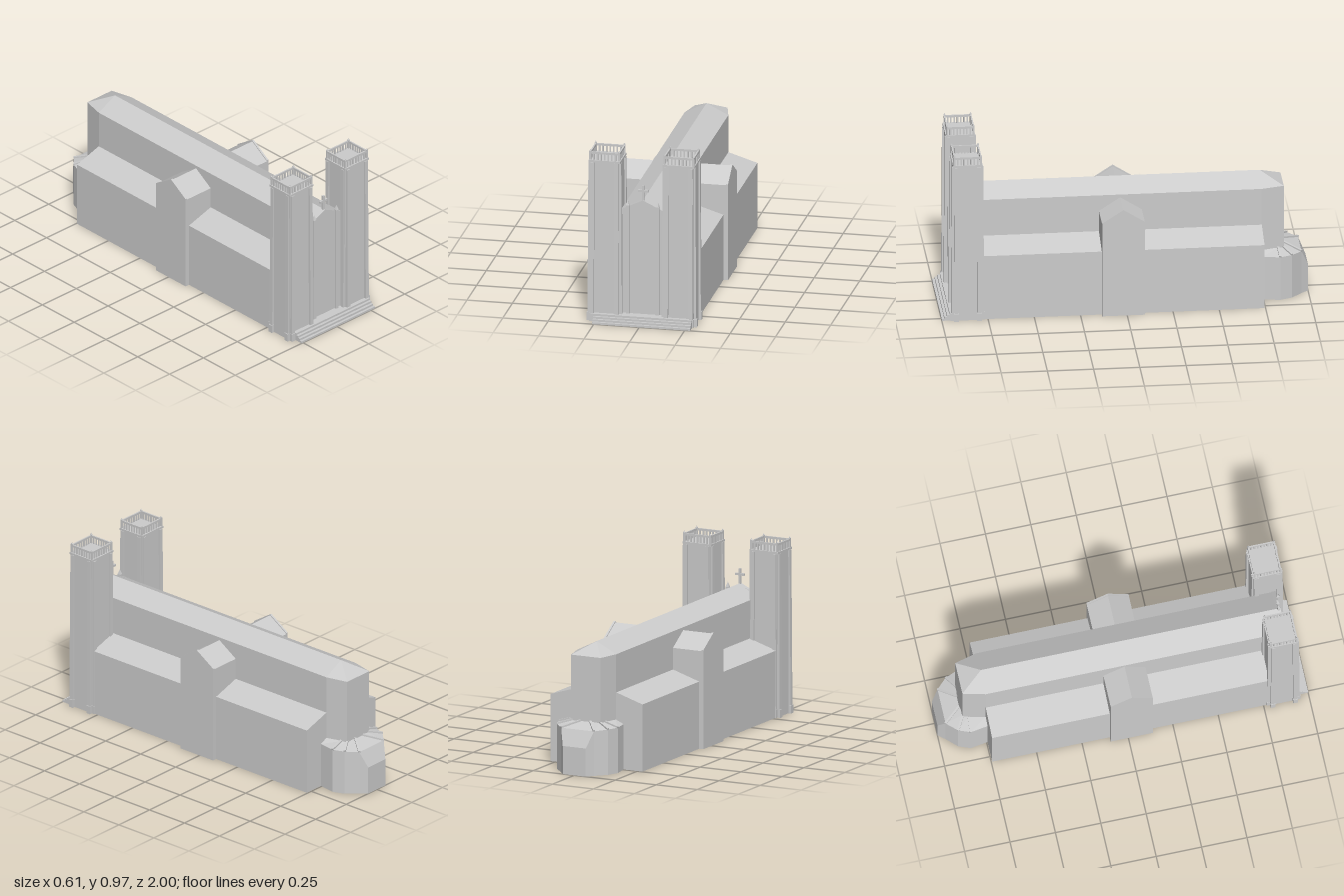
import * as THREE from 'three';

const mat = new THREE.MeshStandardMaterial({ color: 0xcccccc, flatShading: true, side: THREE.DoubleSide });

function mesh(parent, name, geo) {
  const m = new THREE.Mesh(geo, mat);
  m.name = name;
  parent.add(m);
  return m;
}

// box given by its limits on each axis
function box(parent, name, x0, x1, y0, y1, z0, z1) {
  const geo = new THREE.BoxGeometry(x1 - x0, y1 - y0, z1 - z0);
  geo.translate((x0 + x1) / 2, (y0 + y1) / 2, (z0 + z1) / 2);
  return mesh(parent, name, geo);
}

// thin shell from convex polygons, each a list of [x, y, z] corners
function shell(parent, name, faces) {
  const pos = [];
  for (const f of faces) {
    for (let i = 1; i < f.length - 1; i++) pos.push(...f[0], ...f[i], ...f[i + 1]);
  }
  const geo = new THREE.BufferGeometry();
  geo.setAttribute('position', new THREE.Float32BufferAttribute(pos, 3));
  geo.computeVertexNormals();
  return mesh(parent, name, geo);
}

const mirror = (f) => f.map(([x, y, z]) => [-x, y, z]).reverse();

// outline in x/y pushed along z from z0 to z1
function slab(parent, name, pts, z0, z1) {
  const shape = new THREE.Shape(pts.map((p) => new THREE.Vector2(...p)));
  const geo = new THREE.ExtrudeGeometry(shape, { depth: z1 - z0, bevelEnabled: false });
  geo.translate(0, 0, z0);
  return mesh(parent, name, geo);
}

function buildTower(side) {
  const g = new THREE.Group();
  g.name = side > 0 ? 'leftTower' : 'rightTower';
  const hx = 0.082, hz = 0.075, H = 0.9;
  box(g, 'towerBody', -hx, hx, 0, H, -hz, hz);

  // pilasters beside every corner, leaning in towards the top
  const pilaster = (name, x0, x1, z0, z1, h, k) => {
    const p = box(g, name, x0, x1, 0, h, z0, z1).geometry.attributes.position;
    for (let i = 0; i < p.count; i++) {
      if (p.getY(i) > h / 2) p.setXYZ(i, p.getX(i) * k, h, p.getZ(i) * k);
    }
  };
  for (const sx of [-1, 1]) {
    for (const sz of [-1, 1]) {
      const span = (s, a, b) => (s > 0 ? [a, b] : [-b, -a]);
      pilaster('pilaster', ...span(sx, hx - 0.024, hx - 0.002), ...span(sz, hz - 0.01, hz + 0.014), H, 0.95);
      pilaster('pilaster', ...span(sx, hx - 0.01, hx + 0.013), ...span(sz, hz - 0.024, hz - 0.002), H, 0.95);
      pilaster('plinth', ...span(sx, hx - 0.026, hx), ...span(sz, hz - 0.01, hz + 0.018), 0.045, 1);
      pilaster('plinth', ...span(sx, hx - 0.01, hx + 0.017), ...span(sz, hz - 0.026, hz), 0.045, 1);
    }
  }
  box(g, 'cornice', -0.087, 0.087, 0.9, 0.912, -0.08, 0.08);

  // open balustrade with corner posts
  const bx = 0.079, bz = 0.071, t = 0.004;
  for (const s of [-1, 1]) {
    box(g, 'rail', -bx, bx, 0.946, 0.958, s * bz - t, s * bz + t);
    box(g, 'rail', s * bx - t, s * bx + t, 0.946, 0.958, -bz, bz);
    for (const q of [-1, 1]) {
      box(g, 'cornerPost', s * bx - 0.005, s * bx + 0.005, 0.912, 0.962, q * bz - 0.005, q * bz + 0.005);
      const cap = mesh(g, 'postCap', new THREE.ConeGeometry(0.006, 0.01, 4));
      cap.position.set(s * bx, 0.967, q * bz);
    }
    for (let i = 1; i < 8; i++) {
      const u = -1 + i / 4, x = u * bx, z = u * bz;
      box(g, 'baluster', x - t, x + t, 0.912, 0.946, s * bz - 0.003, s * bz + 0.003);
      box(g, 'baluster', s * bx - 0.003, s * bx + 0.003, 0.912, 0.946, z - t, z + t);
    }
  }
  g.position.set(side * 0.204, 0, 0.86);
  return g;
}

export function createModel() {
  const model = new THREE.Group();
  model.name = 'cathedral';

  // nave: upper walls, ridge roof and hipped chancel end
  const F = 0.9, B = -0.745, E = -0.867, eave = 0.63, ridge = 0.69;
  const half = [
    [[0.12, 0.4, F], [0.12, 0.4, B], [0.12, eave, B], [0.12, eave, F]],
    [[0.12, 0.2, B], [0.09, 0.2, E], [0.09, eave, E], [0.12, eave, B]],
    [[0.12, eave, F], [0.12, eave, B], [0, ridge, B], [0, ridge, F]],
    [[0.12, eave, B], [0.09, eave, E], [0, ridge, B]],
  ];
  shell(model, 'nave', [
    ...half, ...half.map(mirror),
    [[0.09, 0.2, E], [-0.09, 0.2, E], [-0.09, eave, E], [0.09, eave, E]],
    [[0.09, eave, E], [-0.09, eave, E], [0, ridge, B]],
  ]);

  // side aisles with lean-to roofs, open underneath
  const aisle = [
    [[0.28, 0, 0.78], [0.28, 0, B], [0.28, 0.37, B], [0.28, 0.37, 0.78]],
    [[0.28, 0.37, 0.78], [0.28, 0.37, B], [0.12, 0.42, B], [0.12, 0.42, 0.78]],
    [[0.28, 0, B], [0.12, 0, B], [0.12, 0.42, B], [0.28, 0.37, B]],
    [[0.12, 0, 0.78], [0.28, 0, 0.78], [0.28, 0.37, 0.78], [0.12, 0.42, 0.78]],
  ];
  shell(model, 'leftAisle', aisle);
  shell(model, 'rightAisle', aisle.map(mirror));

  // transept arms with a thin raised end gable
  const z0 = -0.097, z1 = 0.135, zm = 0.02;
  const gable = (x, d) => [[x, 0, z1], [x, 0, z0], [x, 0.545 - d, z0], [x, 0.62 - d, zm], [x, 0.545 - d, z1]];
  const sweep = (a, b) => a.map((p, i) => {
    const j = (i + 1) % a.length;
    return [p, a[j], b[j], b[i]];
  }).slice(1); // no floor
  const arm = [
    ...sweep(gable(0.12, 0.006), gable(0.294, 0.006)),
    ...sweep(gable(0.294, 0), gable(0.305, 0)),
    gable(0.294, 0), gable(0.305, 0),
  ];
  shell(model, 'leftTransept', arm);
  shell(model, 'rightTransept', arm.map(mirror));

  // apse: curved wall and fan roof, each rim point paired with a roof point
  const rim = [[0.165, 0.25, B], [0.18, 0.25, -0.84], [0.155, 0.25, -0.905], [0.1, 0.245, -0.962]];
  const top = [[0.115, 0.272, B], [0.1, 0.272, -0.835], [0.08, 0.272, -0.86], [0.03, 0.272, -0.872]];
  const down = ([x, , z]) => [x, 0, z];
  const tip = [0.07, 0.155, -1];
  const apse = [];
  for (let i = 0; i < 3; i++) {
    apse.push([down(rim[i]), down(rim[i + 1]), rim[i + 1], rim[i]]);
    apse.push([rim[i], rim[i + 1], top[i + 1], top[i]]);
  }
  apse.push([down(rim[3]), down(tip), tip, rim[3]]);
  const across = (a, b) => [a, mirror([a])[0], mirror([b])[0], b];
  shell(model, 'apse', [
    ...apse, ...apse.map(mirror),
    across(down(tip), tip), across(tip, rim[3]), across(rim[3], top[3]),
  ]);

  // raised ribs on the apse roof
  for (const s of [-1, 1]) {
    for (let i = 1; i < 4; i++) {
      const a = new THREE.Vector3(...rim[i]), b = new THREE.Vector3(...top[i]);
      const rib = mesh(model, 'apseRib', new THREE.BoxGeometry(0.012, 0.016, a.distanceTo(b)));
      a.x *= s;
      b.x *= s;
      rib.position.copy(a).add(b).multiplyScalar(0.5);
      rib.lookAt(b);
    }
  }

  // west front between the towers
  slab(model, 'facade', [[-0.125, 0], [0.125, 0], [0.125, 0.63], [0, 0.69], [-0.125, 0.63]], 0.88, 0.905);
  for (const s of [-1, 1]) {
    const x = s * 0.082;
    box(model, 'pinnacleShaft', x - 0.009, x + 0.009, 0, 0.66, 0.9, 0.916);
    const spire = mesh(model, 'pinnacleTip', new THREE.ConeGeometry(0.0127, 0.028, 4).rotateY(Math.PI / 4));
    spire.position.set(x, 0.674, 0.908);
  }
  box(model, 'crossPost', -0.006, 0.006, 0.68, 0.772, 0.886, 0.898);
  box(model, 'crossArm', -0.027, 0.027, 0.734, 0.746, 0.886, 0.898);

  // entrance steps
  for (let i = 0; i < 4; i++) {
    box(model, 'step', -0.26, 0.28, i * 0.0112, (i + 1) * 0.0112, 0.9, 1 - i * 0.014);
  }

  model.add(buildTower(1), buildTower(-1));
  return model;
}
